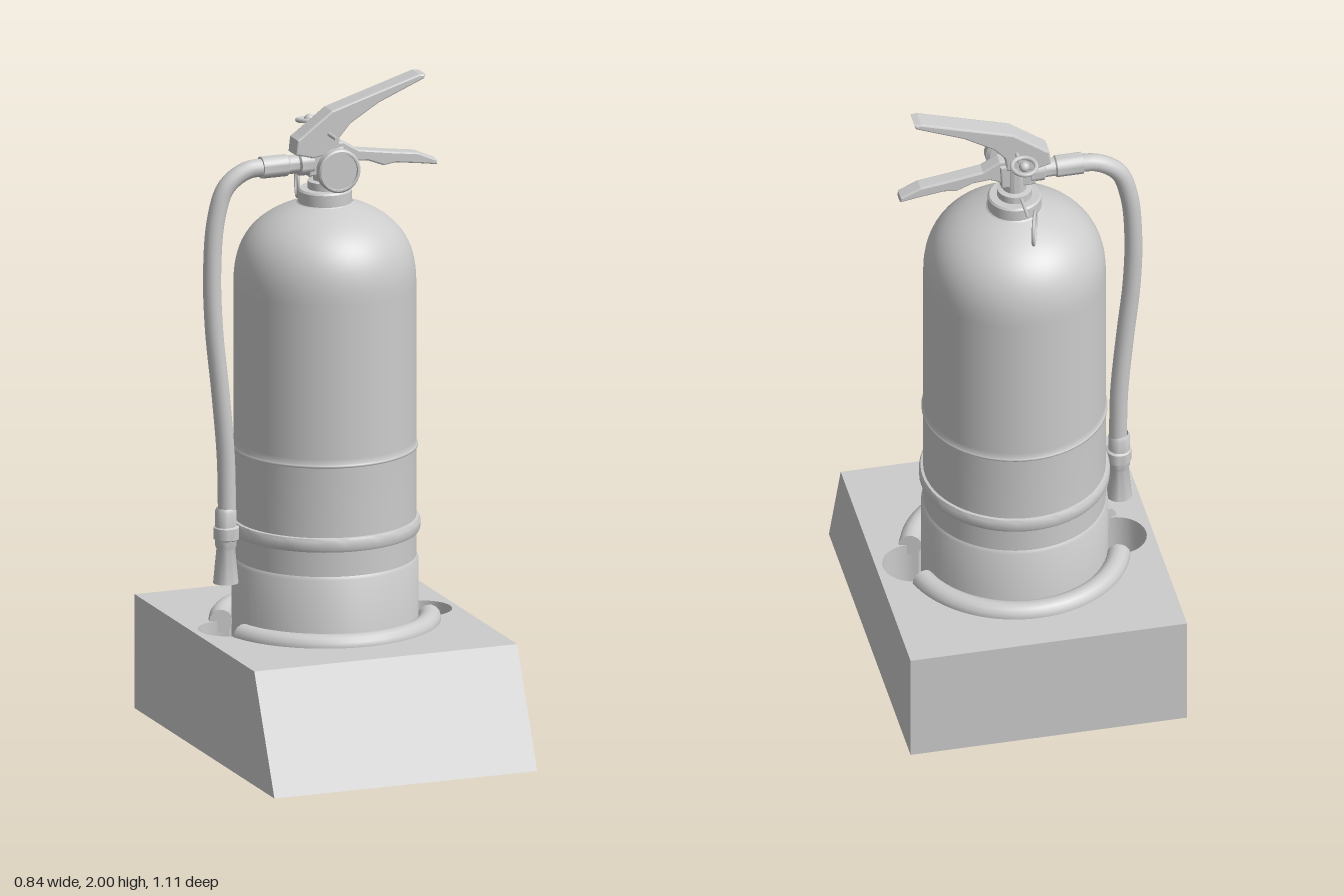
import * as THREE from 'three';
import { toCreasedNormals } from 'three/addons/utils/BufferGeometryUtils.js';

const AXIS_Z = -0.088; // bottle axis

export function createModel() {
  const grey = new THREE.MeshStandardMaterial({ color: 0xcccccc, side: THREE.DoubleSide });
  grey.name = 'light grey';
  const model = new THREE.Group();

  const add = (name, geometry, x = 0, y = 0, z = 0, parent = model) => {
    const mesh = new THREE.Mesh(geometry, grey);
    mesh.name = name;
    mesh.position.set(x, y, z);
    parent.add(mesh);
    return mesh;
  };
  const vec = (pts) => pts.map(([x, y]) => new THREE.Vector2(x, y));
  const lathe = (pts, seg = 64) => toCreasedNormals(new THREE.LatheGeometry(vec(pts), seg), 0.6);
  // Wall between two matching outlines (x, z) at two heights
  const wall = (low, high, y0, y1) => {
    const pos = [];
    low.forEach(([x, z], i) => {
      const j = (i + 1) % low.length;
      const a = [x, y0, z], b = [low[j][0], y0, low[j][1]];
      const c = [high[j][0], y1, high[j][1]], d = [high[i][0], y1, high[i][1]];
      pos.push(...a, ...b, ...c, ...a, ...c, ...d);
    });
    const g = new THREE.BufferGeometry();
    g.setAttribute('position', new THREE.Float32BufferAttribute(pos, 3));
    g.computeVertexNormals();
    return toCreasedNormals(g, 0.5);
  };
  // Flat horizontal sheet from (x, z) outlines
  const flip = (pts) => vec(pts.map(([x, z]) => [x, -z]));
  const sheet = (outline, hole) => {
    const s = new THREE.Shape(flip(outline));
    if (hole) s.holes.push(new THREE.Path(flip(hole)));
    return new THREE.ShapeGeometry(s).rotateX(-Math.PI / 2);
  };
  // Side profile extruded across z, centred on the bottle axis
  const profile = (pts, width) => {
    const g = new THREE.ExtrudeGeometry(new THREE.Shape(vec(pts)), {
      depth: width - 0.012, bevelThickness: 0.006, bevelSize: 0.005, bevelOffset: -0.005, bevelSegments: 2,
    });
    return g.translate(0, 0, AXIS_Z - width / 2 + 0.006);
  };

  // Hollow stand with a sloped front
  const foot = [[-0.42, 0.555], [0.42, 0.555], [0.42, -0.555], [-0.42, -0.555]];
  const top = [[-0.42, 0.395], [0.42, 0.395], [0.42, -0.555], [-0.42, -0.555]];
  add('standWalls', wall(foot, top, 0, 0.35));

  // Round well with a finger scoop on each side
  const well = [];
  const arc = (cx, r, from, to, n) => {
    for (let i = 0; i < n; i++) {
      const a = from + (to - from) * i / n;
      well.push([cx + r * Math.cos(a), AXIS_Z + r * Math.sin(a)]);
    }
  };
  const P = Math.PI, A = 0.292, B = 1.994;
  arc(0.31, 0.09, -B, B, 20);
  arc(0, 0.285, A, P - A, 28);
  arc(-0.31, 0.09, P - B, P + B, 20);
  arc(0, 0.285, P + A, 2 * P - A, 28);
  add('standTop', sheet(top, well), 0, 0.35, 0);
  add('wellWall', wall([...well].reverse(), [...well].reverse(), 0.16, 0.35));
  add('wellFloor', sheet(well), 0, 0.16, 0);

  // Raised rim, one arc in front and one behind
  const gap = 0.285, R = 0.31;
  for (const side of [0, 1]) {
    const rim = new THREE.Group();
    rim.name = side ? 'backRim' : 'frontRim';
    const torus = new THREE.TorusGeometry(R, 0.035, 14, 36, P - 2 * gap);
    torus.rotateZ(gap).rotateX(P / 2);
    add('rimArc', torus, 0, 0, 0, rim);
    for (const a of [gap, P - gap]) {
      const cap = add('rimEnd', new THREE.CircleGeometry(0.035, 14),
        R * Math.cos(a), 0, R * Math.sin(a), rim);
      cap.rotation.y = -a;
    }
    rim.position.set(0, 0.35, AXIS_Z);
    rim.rotation.y = side * P;
    model.add(rim);
  }

  // Bottle: foot skirt, label band with upper bead, domed shoulder
  add('bottleSkirt', lathe([[0.001, 0.165], [0.265, 0.165], [0.277, 0.18], [0.277, 0.54], [0.271, 0.55]]), 0, 0, AXIS_Z);
  const body = [[0.271, 0.545], [0.271, 0.65], [0.271, 0.882], [0.276, 0.885], [0.276, 0.891],
    [0.271, 0.894], [0.271, 0.91], [0.271, 1.38]];
  const dome = new THREE.CubicBezierCurve(new THREE.Vector2(0.271, 1.39), new THREE.Vector2(0.271, 1.53),
    new THREE.Vector2(0.2, 1.59), new THREE.Vector2(0.085, 1.63));
  dome.getPoints(18).forEach((p) => body.push([p.x, p.y]));
  add('bottleBody', new THREE.LatheGeometry(vec(body), 64), 0, 0, AXIS_Z);
  add('neck', lathe([[0.088, 1.61], [0.088, 1.625], [0.08, 1.632], [0.08, 1.668], [0.075, 1.674],
    [0.052, 1.674], [0.052, 1.697], [0.036, 1.70], [0.036, 1.79], [0.001, 1.79]], 40), 0, 0, AXIS_Z);

  // Strap round the bottle and clip round the nozzle
  const strap = [[0.268, 0.625], [0.279, 0.627], [0.283, 0.635], [0.283, 0.66], [0.279, 0.668], [0.268, 0.67]];
  add('strap', lathe(strap), 0, 0, AXIS_Z);
  add('hoseClip', lathe([[0.03, 0.625], [0.038, 0.63], [0.038, 0.665], [0.03, 0.67]], 24), -0.318, 0, -0.08);

  // Valve, outlet and gauge
  add('valveBlock', profile([[-0.06, 1.72], [0.045, 1.72], [0.05, 1.80], [-0.06, 1.80]], 0.06));
  const stem = new THREE.CylinderGeometry(0.024, 0.024, 0.1, 24).rotateX(P / 2);
  add('gaugeStem', stem, 0, 1.752, -0.04);
  const gauge = lathe([[0.001, -0.018], [0.055, -0.018], [0.066, -0.01], [0.066, 0.014], [0.061, 0.018],
    [0.056, 0.018], [0.055, 0.012], [0.001, 0.012]], 40).rotateX(P / 2);
  add('gauge', gauge, 0, 1.752, 0.017);
  const fitting = lathe([[0.001, -0.08], [0.033, -0.08], [0.033, 0], [0.028, 0.004], [0.028, 0.035],
    [0.036, 0.04], [0.036, 0.08], [0.001, 0.08]], 24).rotateZ(-P / 2);
  add('hoseFitting', fitting, -0.125, 1.755, AXIS_Z);

  // Upper lever and lower carrying handle
  add('upperLever', profile([[-0.105, 1.79], [-0.10, 1.835], [-0.085, 1.845], [0.01, 1.915], [0.29, 2.0],
    [0.31, 1.998], [0.305, 1.985], [0.16, 1.925], [0.07, 1.87], [0.035, 1.83], [0.03, 1.785], [-0.05, 1.775]], 0.066));
  add('lowerHandle', profile([[-0.02, 1.815], [0.05, 1.815], [0.10, 1.785], [0.21, 1.768], [0.29, 1.757],
    [0.35, 1.73], [0.352, 1.714], [0.30, 1.722], [0.22, 1.733], [0.18, 1.728], [0.13, 1.748], [0.08, 1.752],
    [0.04, 1.735], [-0.02, 1.73]], 0.046));

  // Hose and nozzle
  const path = [[-0.18, 1.755, -0.088], [-0.25, 1.75, -0.09], [-0.315, 1.705, -0.09], [-0.348, 1.61, -0.088],
    [-0.362, 1.45, -0.084], [-0.358, 1.28, -0.08], [-0.338, 1.08, -0.078], [-0.32, 0.88, -0.08], [-0.316, 0.7, -0.08]];
  const curve = new THREE.CatmullRomCurve3(path.map((p) => new THREE.Vector3(...p)));
  add('hose', new THREE.TubeGeometry(curve, 64, 0.027, 16));
  add('nozzle', lathe([[0.001, 0.51], [0.03, 0.51], [0.038, 0.495], [0.028, 0.60], [0.032, 0.61],
    [0.032, 0.715], [0.027, 0.725]], 24), -0.32, 0, -0.08);

  // Locking pin with its loop, and the hanging pull ring
  const pin = new THREE.CylinderGeometry(0.006, 0.006, 0.17, 10).rotateX(P / 2);
  add('lockingPin', pin, 0, 1.845, -0.08);
  const loop = add('pinLoop', new THREE.TorusGeometry(0.036, 0.007, 8, 32), -0.005, 1.856, -0.198);
  loop.rotation.x = P / 2 - 0.15;
  add('pinHead', new THREE.SphereGeometry(0.016, 16, 10), -0.005, 1.856, -0.2);
  const ring = add('pullRing', new THREE.TorusGeometry(0.05, 0.005, 8, 36), -0.025, 1.66, -0.248);
  ring.rotation.y = P / 2 - 0.3;
  const link = new THREE.CylinderGeometry(0.005, 0.005, 0.11, 8).rotateX(P / 2);
  add('ringLink', link, -0.01, 1.688, -0.175);

  return model;
}
